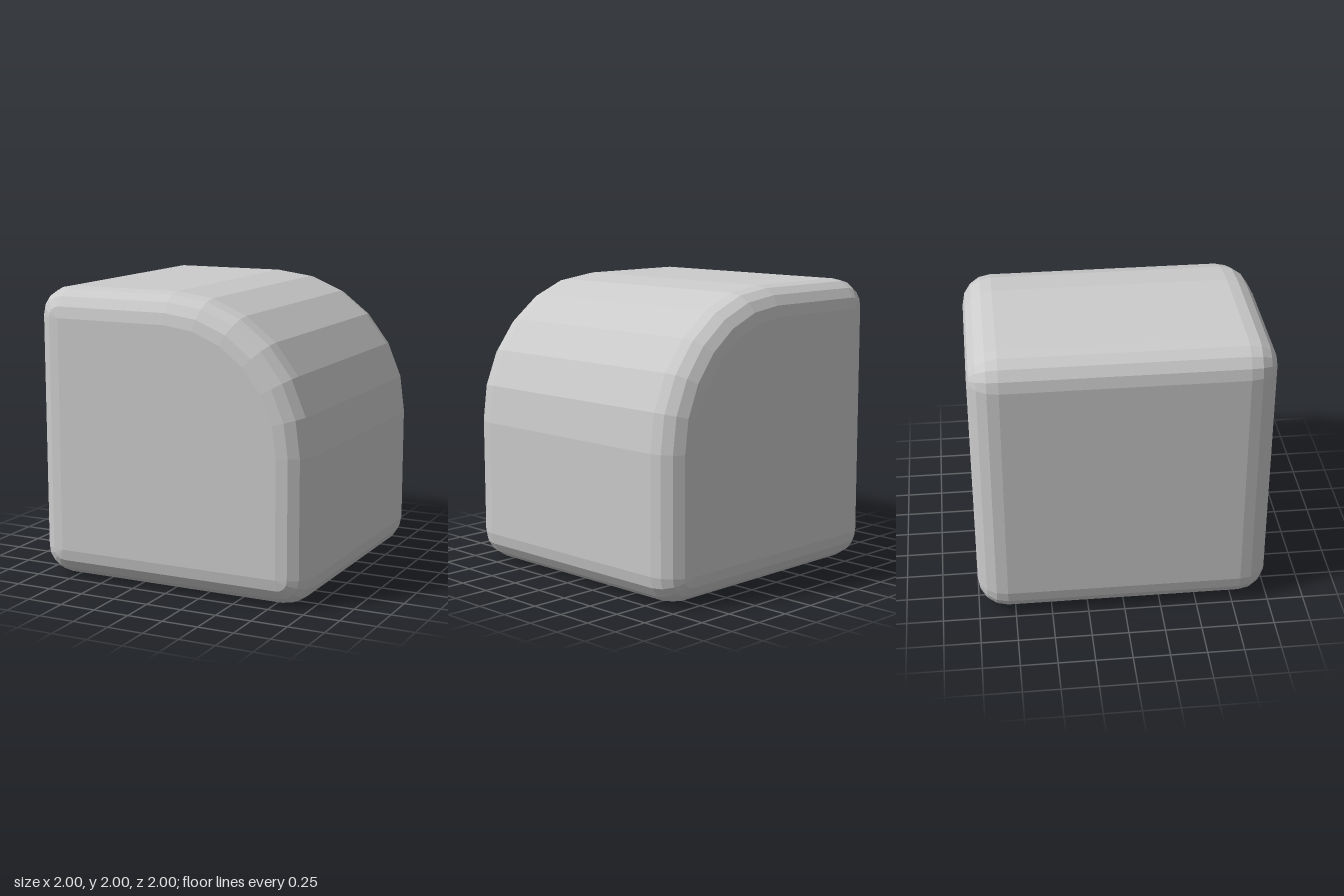
import * as THREE from 'three';

const BEVEL = 0.2, BEVEL_STEPS = 4;

// Corners of the front outline, counter-clockwise: centre, radius, start angle, segments
const corners = [
  { x: 0.8, y: 0.2, r: 0.2, start: -Math.PI / 2, steps: 4 },
  { x: 0, y: 1, r: 1, start: 0, steps: 6 },
  { x: -0.8, y: 1.8, r: 0.2, start: Math.PI / 2, steps: 4 },
  { x: -0.8, y: 0.2, r: 0.2, start: Math.PI, steps: 4 },
];

// Outline shrunk by an inset, placed at depth z
function ring(inset, z) {
  const points = [];
  for (const c of corners) {
    for (let i = 0; i <= c.steps; i++) {
      const a = c.start + (Math.PI / 2) * (i / c.steps);
      const r = c.r - inset;
      points.push(new THREE.Vector3(c.x + r * Math.cos(a), c.y + r * Math.sin(a), z));
    }
  }
  return points;
}

function roundedBlock() {
  // Cross-sections from back to front, following the quarter-round bevel
  const rings = [];
  for (const side of [-1, 1]) {
    for (let i = 0; i <= BEVEL_STEPS; i++) {
      const a = (Math.PI / 2) * ((side < 0 ? i : BEVEL_STEPS - i) / BEVEL_STEPS);
      rings.push(ring(BEVEL * (1 - Math.sin(a)), side * (1 - BEVEL + BEVEL * Math.cos(a))));
    }
  }

  const positions = [];
  const edge1 = new THREE.Vector3(), edge2 = new THREE.Vector3();
  const triangle = (a, b, c) => {
    // Skip triangles that collapse at the rounded corners
    if (edge1.subVectors(b, a).cross(edge2.subVectors(c, a)).length() < 1e-7) return;
    for (const p of [a, b, c]) positions.push(p.x, p.y, p.z);
  };

  const n = rings[0].length;
  for (let k = 0; k < rings.length - 1; k++) {
    const back = rings[k], front = rings[k + 1];
    for (let i = 0; i < n; i++) {
      const j = (i + 1) % n;
      triangle(back[i], back[j], front[j]);
      triangle(back[i], front[j], front[i]);
    }
  }

  // Flat front and back faces
  const first = rings[0], last = rings[rings.length - 1];
  const backCentre = new THREE.Vector3(-0.1, 0.9, -1);
  const frontCentre = new THREE.Vector3(-0.1, 0.9, 1);
  for (let i = 0; i < n; i++) {
    const j = (i + 1) % n;
    triangle(backCentre, first[j], first[i]);
    triangle(frontCentre, last[i], last[j]);
  }

  const geometry = new THREE.BufferGeometry();
  geometry.setAttribute('position', new THREE.Float32BufferAttribute(positions, 3));
  geometry.computeVertexNormals();
  return geometry;
}

export function createModel() {
  const group = new THREE.Group();
  group.name = 'roundedBlock';
  const material = new THREE.MeshStandardMaterial({ color: 0xcccccc, flatShading: true });
  const block = new THREE.Mesh(roundedBlock(), material);
  block.name = 'block';
  group.add(block);
  return group;
}
